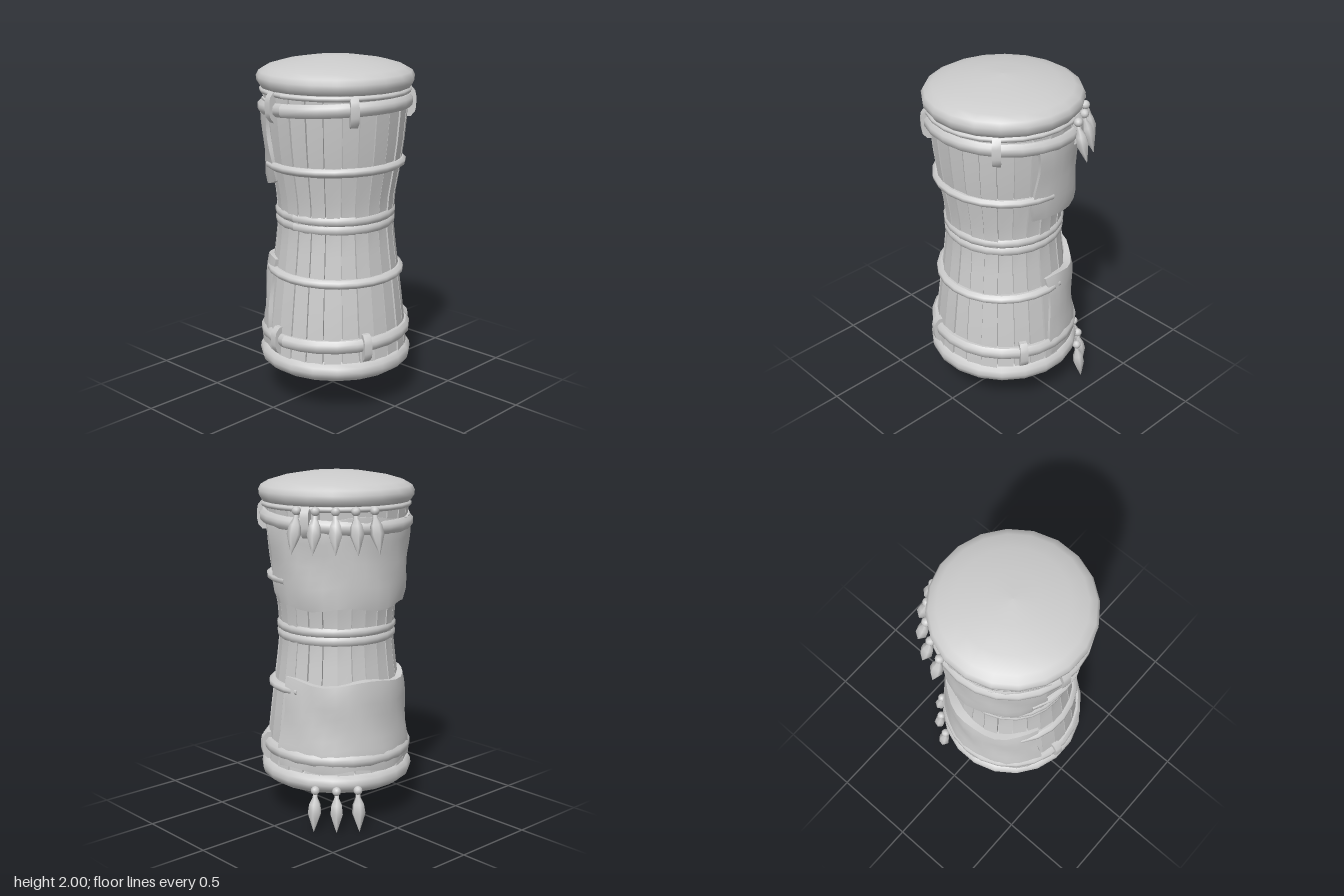
import * as THREE from 'three';

const grey = new THREE.MeshStandardMaterial({ color: 0xcccccc });
grey.name = 'plain grey';

const rad = THREE.MathUtils.degToRad;
const lerp = THREE.MathUtils.lerp;

// Small seeded generator for hand-made irregularity
let seed = 7;
const jitter = (amount) => {
  seed = (seed * 16807) % 2147483647;
  return (seed / 2147483647 - 0.5) * 2 * amount;
};

// Hourglass radius of the wooden body by height
const bodyProfile = [[0.28, 0.415], [0.4, 0.408], [0.6, 0.385], [0.8, 0.36], [0.95, 0.34], [1.1, 0.325],
  [1.2, 0.335], [1.35, 0.362], [1.6, 0.395], [1.85, 0.412]];
function bodyRadius(y) {
  for (let i = 1; i < bodyProfile.length; i++) {
    const [y0, r0] = bodyProfile[i - 1], [y1, r1] = bodyProfile[i];
    if (y <= y1) return lerp(r0, r1, Math.max(0, (y - y0) / (y1 - y0)));
  }
  return 0.412;
}

function add(parent, name, geometry) {
  const mesh = new THREE.Mesh(geometry, grey);
  mesh.name = name;
  parent.add(mesh);
  return mesh;
}

// Bends a box round the drum: rule(u, v, w) gives [angle in degrees, height, radius]
function bent(segU, segV, rule) {
  const geo = new THREE.BoxGeometry(1, 1, 1, segU, segV, 1);
  const p = geo.attributes.position;
  for (let i = 0; i < p.count; i++) {
    const [a, y, r] = rule(p.getX(i) + 0.5, p.getY(i) + 0.5, p.getZ(i) + 0.5);
    p.setXYZ(i, Math.sin(rad(a)) * r, y, Math.cos(rad(a)) * r);
  }
  geo.computeVertexNormals();
  return geo;
}

function lathe(points, sides, start = 0) {
  return new THREE.LatheGeometry(points.map(([r, y]) => new THREE.Vector2(r, y)), sides, start);
}

// Rounded strap round the drum; tilt raises it towards +x
function strap(a0, a1, y, height, thickness, tilt = 0, radius = null) {
  return bent(Math.round((a1 - a0) / 15), 4, (u, v, w) => {
    const a = lerp(a0, a1, u), t = 2 * v - 1;
    const base = radius ?? bodyRadius(y + t * height / 2);
    const bulge = thickness * (1 - 0.55 * t ** 4);
    return [a, y + t * height / 2 + tilt * Math.sin(rad(a)), base + (w > 0.5 ? bulge : -0.02)];
  });
}

// Hide patch hugging the body at its ends and standing off in the middle
function patch(a0, a1, y0, y1, standOff, fold) {
  return bent(16, 8, (u, v, w) => {
    const ends = Math.sin(Math.PI * u) ** 0.6;
    const bottom = y0 + 0.012 * Math.sin(u * 19) + fold * (u > 0.8 ? (u - 0.8) * 5 : 0);
    const top = y1 + 0.015 * Math.sin(u * 14 + 1);
    const y = lerp(bottom, top, v);
    const a = lerp(a0, a1, u) + 2 * Math.sin(v * 7) * (2 * u - 1);
    const body = bodyRadius(y);
    const outer = Math.max(body + 0.022, lerp(body + 0.022, standOff, ends));
    const ripple = 0.005 * Math.sin(u * 23 + v * 9);
    const rim = v < 0.05 || v > 0.95 ? -0.008 : 0;
    return [a, y, w > 0.5 ? outer + ripple + rim : body - 0.015];
  });
}

// Hanging feather with a bead, placed at an angle on the rim
function tassel(name, angle, y, radius, lean) {
  const g = new THREE.Group();
  g.name = name;
  const bead = add(g, 'bead', new THREE.IcosahedronGeometry(0.026, 1));
  bead.position.y = 0.02;
  const feather = add(g, 'feather', lathe([[0, -0.22], [0.017, -0.175], [0.04, -0.11],
    [0.034, -0.06], [0.015, -0.02], [0.012, 0.02], [0, 0.02]], 6));
  feather.scale.z = 0.85;
  feather.rotation.x = -lean;
  g.position.set(Math.sin(rad(angle)) * radius, y, Math.cos(rad(angle)) * radius);
  g.rotation.y = rad(angle);
  return g;
}

export function createModel() {
  const model = new THREE.Group();
  model.name = 'drum';
  const drum = new THREE.Group();
  drum.name = 'drumBody';
  drum.position.set(0.045, 0, 0.025);
  model.add(drum);

  // Stretched heads, top and bottom
  const half = Math.PI / 20;
  add(drum, 'topHead', lathe([[0.38, 1.825], [0.425, 1.832], [0.444, 1.86], [0.447, 1.89], [0.432, 1.918],
    [0.39, 1.942], [0.3, 1.968], [0.15, 1.992], [0, 2]], 20, half));
  add(drum, 'bottomHead', lathe([[0, 0.14], [0.16, 0.146], [0.3, 0.17], [0.4, 0.203], [0.438, 0.23],
    [0.447, 0.26], [0.442, 0.29], [0.42, 0.312], [0.38, 0.32]], 20, half));

  // Inner shell behind the staves
  add(drum, 'innerShell', lathe(bodyProfile.map(([y, r]) => [r - 0.018, y]), 24));

  // Wooden staves with narrow gaps
  const count = 26;
  const staves = new THREE.Group();
  staves.name = 'staves';
  drum.add(staves);
  for (let i = 0; i < count; i++) {
    const width = 360 / count, mid = i * width + jitter(0.8);
    const out = jitter(0.005), skew = jitter(0.8), span = width / 2 - 0.45;
    add(staves, 'stave', bent(1, 10, (u, v, w) => {
      const y = lerp(0.29, 1.85, v);
      return [mid + (2 * u - 1) * span + skew * (v - 0.5), y, bodyRadius(y) + out + (w > 0.5 ? 0.003 : -0.03)];
    }));
  }

  // Hide patches on the back right
  add(drum, 'upperPatch', patch(163, 338, 1.26, 1.76, 0.412, 0.05));
  add(drum, 'lowerPatch', patch(178, 335, 0.33, 0.835, 0.41, 0));

  // Hoops and open straps
  add(drum, 'topCord', strap(0, 360, 1.815, 0.03, 0.018, 0, 0.412));
  add(drum, 'topHoop', strap(0, 360, 1.735, 0.075, 0.035, 0.025, 0.405));
  add(drum, 'upperStrap', strap(-33, 180, 1.4, 0.05, 0.034, 0.008));
  add(drum, 'waistHoopUpper', strap(0, 360, 1.12, 0.05, 0.02, 0, 0.327));
  add(drum, 'waistHoopLower', strap(0, 360, 1.07, 0.05, 0.018, 0, 0.327));
  add(drum, 'lowerStrap', strap(-41, 193, 0.775, 0.05, 0.034, -0.006));
  add(drum, 'bottomHoop', strap(0, 360, 0.405, 0.075, 0.034, 0.012, 0.406));

  // Clips holding the end hoops
  const clip = (name, angle, y0, y1) => add(drum, name, bent(2, 6, (u, v, w) => {
    const t = Math.abs(2 * v - 1);
    return [angle + (u - 0.5) * 6, lerp(y0, y1, v), w > 0.5 ? 0.455 - 0.03 * t ** 4 : 0.4];
  }));
  for (const a of [-11, 57, 132, 205]) clip('topClip', a, 1.66, 1.83);
  for (const a of [-8, 68, 152]) clip('bottomClip', a, 0.32, 0.48);

  // Feather tassels
  for (let i = 0; i < 5; i++) drum.add(tassel('topTassel', 199 + i * 14, 1.79, 0.448, 0.28));
  for (let i = 0; i < 3; i++) drum.add(tassel('bottomTassel', 212.5 + i * 15.2, 0.217, 0.46, 0.16));
  return model;
}
